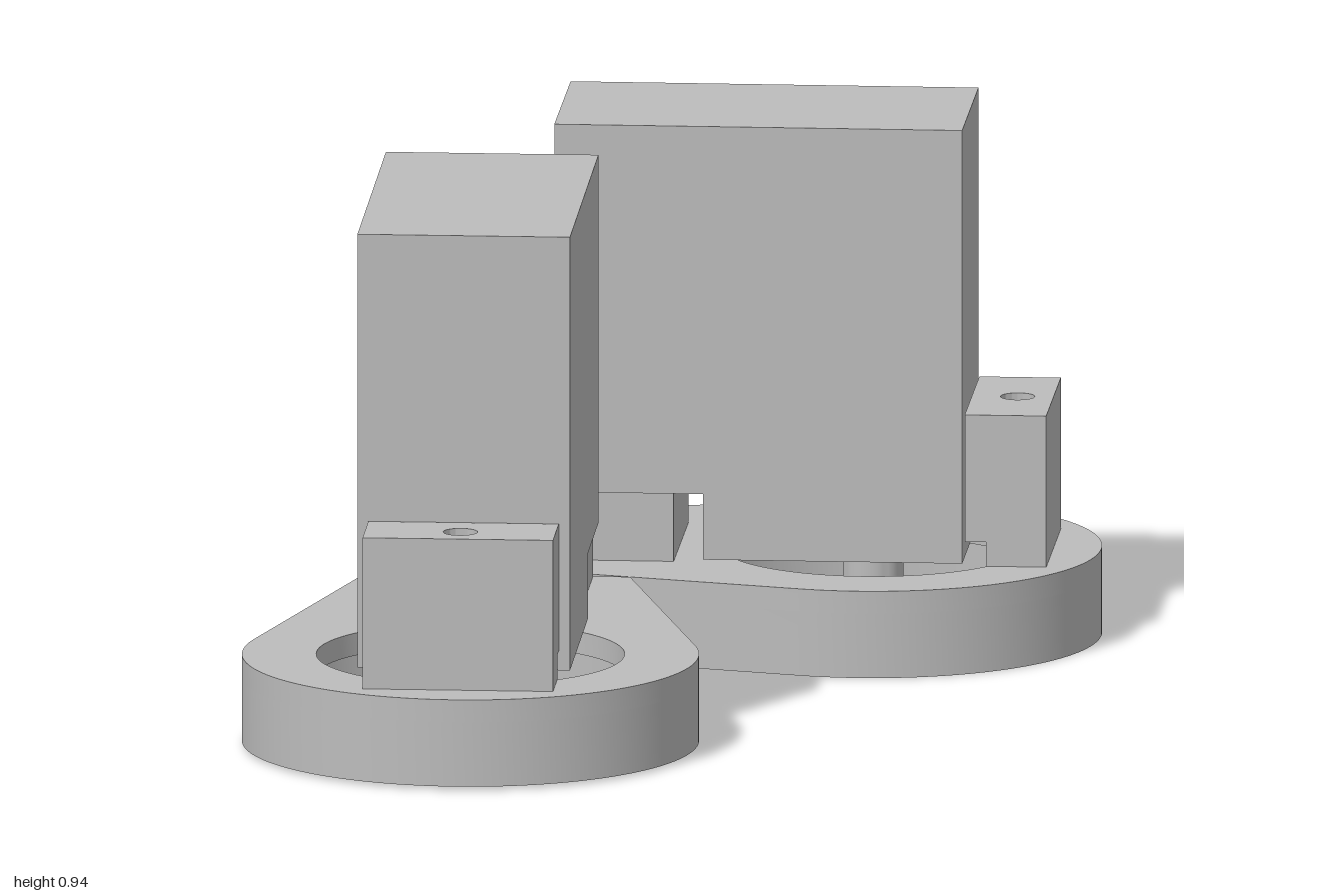
import * as THREE from 'three';
import { toCreasedNormals } from 'three/addons/utils/BufferGeometryUtils.js';

const PLATE_TOP = 0.155, LIP_BOTTOM = 0.115, BLOCK_TOP = 0.425;
const RING_R = 0.4, END_U = 0.685, END_W = 0.232, BLOCK_W = 0.334;

const grey = new THREE.MeshStandardMaterial({ color: 0xbcbcbc });
grey.name = 'light grey plastic';

function part(name, geometry, parent) {
  const mesh = new THREE.Mesh(toCreasedNormals(geometry, 0.5), grey);
  mesh.name = name;
  parent.add(mesh);
  return mesh;
}

// Plan-view outline raised from y0 to y1
function slab(shape, y0, y1) {
  const g = new THREE.ExtrudeGeometry(shape, { depth: y1 - y0, bevelEnabled: false, curveSegments: 48 });
  return g.rotateX(-Math.PI / 2).translate(0, y0, 0);
}

// Side-view outline extruded evenly to both sides
function profile(points, width) {
  const shape = new THREE.Shape(points.map(([x, y]) => new THREE.Vector2(x, y)));
  return new THREE.ExtrudeGeometry(shape, { depth: width, bevelEnabled: false }).translate(0, 0, -width / 2);
}

function addHole(shape, x, r) {
  shape.holes.push(new THREE.Path().absarc(x, 0, r, 0, Math.PI * 2, true));
  return shape;
}

// Ring whose sides run tangentially out to a straight end
function teardrop(holeR) {
  const a = Math.atan2(END_W, END_U) + Math.acos(RING_R / Math.hypot(END_U, END_W));
  const s = new THREE.Shape();
  s.moveTo(END_U, END_W);
  s.lineTo(RING_R * Math.cos(a), RING_R * Math.sin(a));
  s.absarc(0, 0, RING_R, a, 2 * Math.PI - a, false);
  s.lineTo(END_U, -END_W);
  s.closePath();
  return addHole(s, 0, holeR);
}

// Upper part of a mounting block, with a screw hole
function screwBlock(x0, x1, holeX) {
  const h = BLOCK_W / 2;
  const s = new THREE.Shape([[x0, -h], [x1, -h], [x1, h], [x0, h]].map(([x, y]) => new THREE.Vector2(x, y)));
  return slab(addHole(s, holeX, 0.03), 0.3, BLOCK_TOP);
}

function createUnit(name) {
  const unit = new THREE.Group();
  unit.name = name;

  // Stepped bore: wide below, narrower lip on top
  part('ringBase', slab(teardrop(0.33), 0, LIP_BOTTOM), unit);
  part('ringLip', slab(teardrop(0.27), LIP_BOTTOM, PLATE_TOP), unit);

  // Motor body, notched over the inner foot
  part('motorBody', profile([
    [-0.17, 0.163], [0.285, 0.163], [0.285, 0.28], [0.546, 0.28], [0.546, 0.937], [-0.17, 0.937],
  ], 0.373), unit);
  part('outputShaft', new THREE.CylinderGeometry(0.053, 0.053, 0.12, 32).translate(0, 0.11, 0), unit);

  // Outer mount, undercut next to the motor
  part('outerMountBase', profile([
    [-0.316, PLATE_TOP], [-0.21, PLATE_TOP], [-0.21, 0.198], [-0.173, 0.198], [-0.173, 0.3], [-0.316, 0.3],
  ], BLOCK_W), unit);
  part('outerMountTop', screwBlock(-0.316, -0.173, -0.253), unit);

  // Inner mount with a low foot under the motor
  part('innerMountBase', profile([
    [0.338, PLATE_TOP], [END_U, PLATE_TOP], [END_U, 0.3], [0.549, 0.3], [0.549, 0.279], [0.338, 0.279],
  ], BLOCK_W), unit);
  part('innerMountTop', screwBlock(0.549, END_U, 0.625), unit);
  return unit;
}

export function createModel() {
  const model = new THREE.Group();
  model.name = 'twinMotorMount';

  const right = createUnit('rightUnit');
  right.position.set(-0.6, 0.006, 0.145);
  right.rotation.y = THREE.MathUtils.degToRad(32);

  const left = createUnit('leftUnit');
  left.position.set(0.6, 0, 0.145);
  left.rotation.y = THREE.MathUtils.degToRad(121.6);

  // Block joining both plates at the back
  const link = part('linkBlock', new THREE.BoxGeometry(0.314, 0.15, 0.29), model);
  link.position.set(0.12, 0.078, -0.322);
  link.rotation.y = THREE.MathUtils.degToRad(40.8);

  model.add(right, left);
  return model;
}
